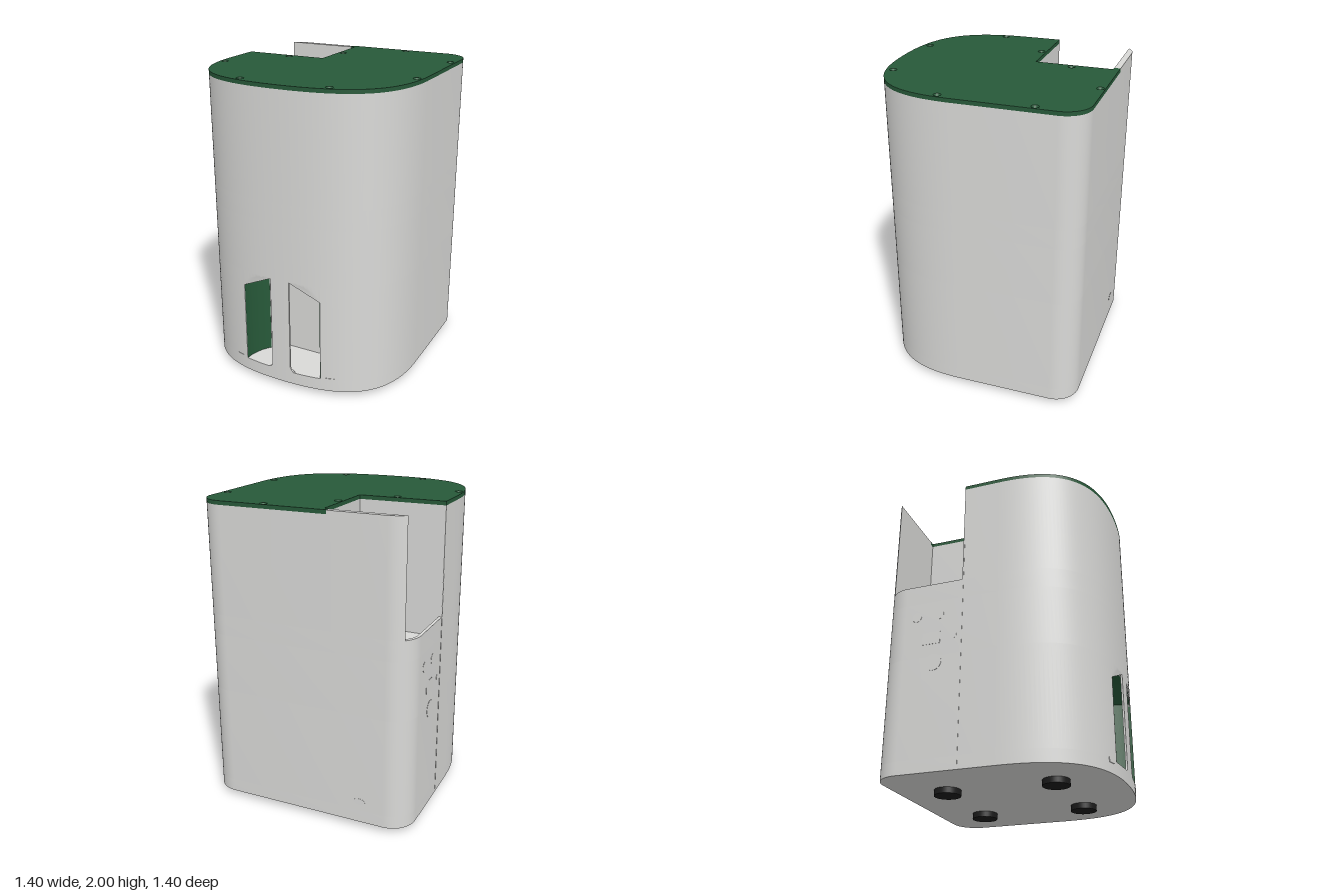
import * as THREE from 'three';
import { toCreasedNormals } from 'three/addons/utils/BufferGeometryUtils.js';

export function createModel() {
  const model = new THREE.Group();
  const mat = (name, color, side = THREE.FrontSide) => {
    const m = new THREE.MeshStandardMaterial({ color, side });
    m.name = name;
    return m;
  };
  const grey = mat('shell grey', 0xd9d9d7);
  const green = mat('dark green', 0x275939, THREE.DoubleSide);
  const black = mat('rubber black', 0x1c1c1c);

  const add = (name, geo, material, x = 0, y = 0, z = 0) => {
    const mesh = new THREE.Mesh(geo, material);
    mesh.name = name;
    mesh.position.set(x, y, z);
    model.add(mesh);
    return mesh;
  };

  // Plan outline: bowed front, straight sides, rounded back corners, as [x, z]
  const bow = new THREE.CubicBezierCurve(
    new THREE.Vector2(0, 0.7), new THREE.Vector2(0.46, 0.7),
    new THREE.Vector2(0.7, 0.56), new THREE.Vector2(0.7, 0.08));
  const half = bow.getPoints(40).map(p => [p.x, p.y]);
  const R = 0.16;
  for (let i = 0; i <= 12; i++) {
    const a = (i / 12) * Math.PI / 2;
    half.push([0.7 - R + R * Math.cos(a), -0.7 + R - R * Math.sin(a)]);
  }
  const mirror = pts => [...pts].reverse().map(([x, z]) => [-x, z]);
  const mirrored = mirror(half.slice(1));
  const full = [...half, ...mirrored];

  // Depth of the bowed front at a given x
  const frontZ = x => {
    const ax = Math.abs(x);
    const i = Math.max(1, half.findIndex(p => p[0] >= ax));
    const [x0, z0] = half[i - 1], [x1, z1] = half[i];
    return z0 + (z1 - z0) * (ax - x0) / (x1 - x0);
  };

  // Upright extrusion of a plan shape
  const toVec = pts => pts.map(([x, z]) => new THREE.Vector2(x, -z));
  const extrudePlan = (pts, depth, holes = []) => {
    const shape = new THREE.Shape(toVec(pts));
    holes.forEach(h => shape.holes.push(new THREE.Path(toVec(h))));
    return new THREE.ExtrudeGeometry(shape, { depth, bevelEnabled: false }).rotateX(-Math.PI / 2);
  };
  const slab = (name, pts, y0, y1, material, holes) =>
    add(name, toCreasedNormals(extrudePlan(pts, y1 - y0, holes), 0.5), material, 0, y0, 0);
  const circle = (cx, cz, r, n = 20) => Array.from({ length: n }, (_, i) => {
    const a = (i / n) * Math.PI * 2;
    return [cx + r * Math.cos(a), cz + r * Math.sin(a)];
  });

  // Thin strip following the bowed front, with lower and upper edges given as rules of x
  const strip = (name, x0, x1, low, high, proud = 0) => {
    const xs = Array.from({ length: 17 }, (_, i) => x0 + (x1 - x0) * i / 16);
    const outer = xs.map(x => [x, frontZ(x) + proud]);
    const inner = xs.map(x => [x, frontZ(x) - 0.012]).reverse();
    const geo = extrudePlan([...outer, ...inner], 1);
    const pos = geo.attributes.position;
    for (let i = 0; i < pos.count; i++) {
      const x = pos.getX(i);
      pos.setY(i, low(x) + (high(x) - low(x)) * pos.getY(i));
    }
    geo.computeVertexNormals();
    add(name, toCreasedNormals(geo, 0.5), grey);
  };

  // Lower body with the dispensing cavity open to the front
  const W = 0.275, BACK = 0.2, FLOOR = 0.12, TOP = 0.77, zc = frontZ(W);
  const side = [[W, zc], ...half.filter(p => p[0] > W + 0.002 || p[1] < 0)];
  const cavity = [];
  for (let i = 1; i <= 10; i++) {
    const a = (i / 10) * Math.acos(BACK / W);
    cavity.push([-W * Math.cos(a), zc - W * Math.sin(a)]);
  }
  cavity.push([-BACK, 0.41]);
  slab('base', full, 0.037, FLOOR, grey);
  slab('lowerBody', [...side, ...mirror(side), ...cavity, ...mirror(cavity)], FLOOR, TOP, grey);
  slab('middleBody', full, TOP, 1.15, grey);

  // Pocket with a low rim in the back corner
  const RIM = 1.28;
  const pocket = [[-0.14, -0.16], [-0.14, -0.66]];
  for (let i = 0; i <= 8; i++) {
    const a = (i / 8) * Math.PI / 2;
    pocket.push([-0.56 - 0.12 * Math.sin(a), -0.54 - 0.12 * Math.cos(a)]);
  }
  pocket.push([-0.68, -0.16]);
  slab('pocketRim', full, 1.15, RIM, grey, [pocket]);

  // Notched upper body, and the back wall standing up behind the notch
  const frontLeft = mirrored.filter(p => p[1] > -0.16);
  const notch = [[-0.17, -0.7], [-0.17, -0.66], [-0.14, -0.66], [-0.14, -0.16], [-0.7, -0.16]];
  const notched = [...half, ...notch, ...frontLeft];
  const cutX = -0.54 - Math.sqrt(R * R - 0.12 * 0.12);
  slab('upperBody', notched, RIM, 1.975, grey);
  slab('backWall', [[-0.17, -0.66], [-0.17, -0.7], ...mirrored.filter(p => p[1] < -0.661), [cutX, -0.66]],
    RIM, 1.998, grey);

  // Lid with countersunk screw holes
  const screws = [[0.25, -0.67], [-0.107, -0.403], [0.665, -0.405], [-0.377, -0.127],
    [0.66, 0.175], [-0.66, 0.22], [-0.272, 0.635], [0.313, 0.622]];
  slab('lid', notched, 1.975, 2, green, screws.map(([x, z]) => circle(x, z, 0.024)));
  const sink = new THREE.LatheGeometry([new THREE.Vector2(0.012, 0.002),
    new THREE.Vector2(0.013, 0.016), new THREE.Vector2(0.024, 0.025)], 20);
  screws.forEach(([x, z]) => add('screwHole', sink, green, x, 1.975, z));

  // Front grille: central post with rounded feet, and an arched spandrel on each side
  const P = 0.066, FILLET = 0.035;
  const flat = y => () => y;
  const arch = x => 0.665 + 0.1 * Math.sqrt(Math.max(0, 1 - ((Math.abs(x) - 0.07) / 0.205) ** 2));
  const flare = x => {
    const t = 1 - (Math.abs(x) - P) / FILLET;
    return FLOOR + FILLET * (1 - Math.sqrt(Math.max(0, 1 - t * t)));
  };
  strip('grillePost', -P, P, flat(FLOOR), flat(TOP));
  for (const s of [-1, 1]) {
    const [a, b] = s > 0 ? [P, W] : [-W, -P];
    strip('grilleArch', a, b, arch, flat(TOP));
    const [c, d] = s > 0 ? [P, P + FILLET] : [-P - FILLET, -P];
    strip('grilleFillet', c, d, flat(FLOOR), flare);
    // Small tab beside the opening
    strip('frontTab', s * 0.338 - 0.028, s * 0.338 + 0.028, flat(0.1), flat(0.13), 0.003);
  }

  // Green cavity liner: side arcs, sloping hood and ceiling
  const r = 0.272, gap = Math.asin(BACK / r);
  const arc = (name, rTop, y0, y1, start, length) => add(name,
    new THREE.CylinderGeometry(rTop, r, y1 - y0, 24, 1, true, start, length), green, 0, (y0 + y1) / 2, zc);
  arc('linerLeft', r, FLOOR, 0.69, Math.PI / 2, Math.PI / 2 - gap);
  arc('linerRight', r, FLOOR, 0.69, Math.PI + gap, Math.PI / 2 - gap);
  arc('linerHood', 0.1, 0.69, 0.768, Math.PI / 2, Math.PI);
  const ceiling = new THREE.CircleGeometry(r, 24, Math.PI, Math.PI).rotateX(Math.PI / 2);
  add('linerCeiling', ceiling, green, 0, 0.768, zc);

  // Feet
  const foot = new THREE.CylinderGeometry(0.084, 0.084, 0.04, 32);
  for (const x of [-0.315, 0.315]) for (const z of [0.32, -0.375]) add('foot', foot, black, x, 0.02, z);

  // Ports and panel seam on the side: [z, y, radius]
  const disc = rad => new THREE.CylinderGeometry(rad, rad, 0.003, 24).rotateZ(Math.PI / 2);
  for (const [z, y, rad] of [[-0.46, 1.055, 0.032], [-0.31, 1.055, 0.034], [-0.205, 0.895, 0.02], [-0.335, 0.73, 0.055]])
    add('sidePort', disc(rad), grey, -0.7, y, z);
  add('sideSocket', new THREE.BoxGeometry(0.003, 0.08, 0.12), grey, -0.7, 0.895, -0.355);
  add('sideSeam', new THREE.BoxGeometry(0.004, 1.5, 0.008), grey, -0.7, 0.81, -0.155);
  add('pocketCableHole', disc(0.02), grey, -0.14, 1.9, -0.41);

  // Oval outlet low on the back
  const outlet = new THREE.CylinderGeometry(0.022, 0.022, 0.003, 24).rotateX(Math.PI / 2).scale(1.8, 1, 1);
  add('backOutlet', outlet, grey, -0.38, 0.18, -0.7);

  return model;
}
